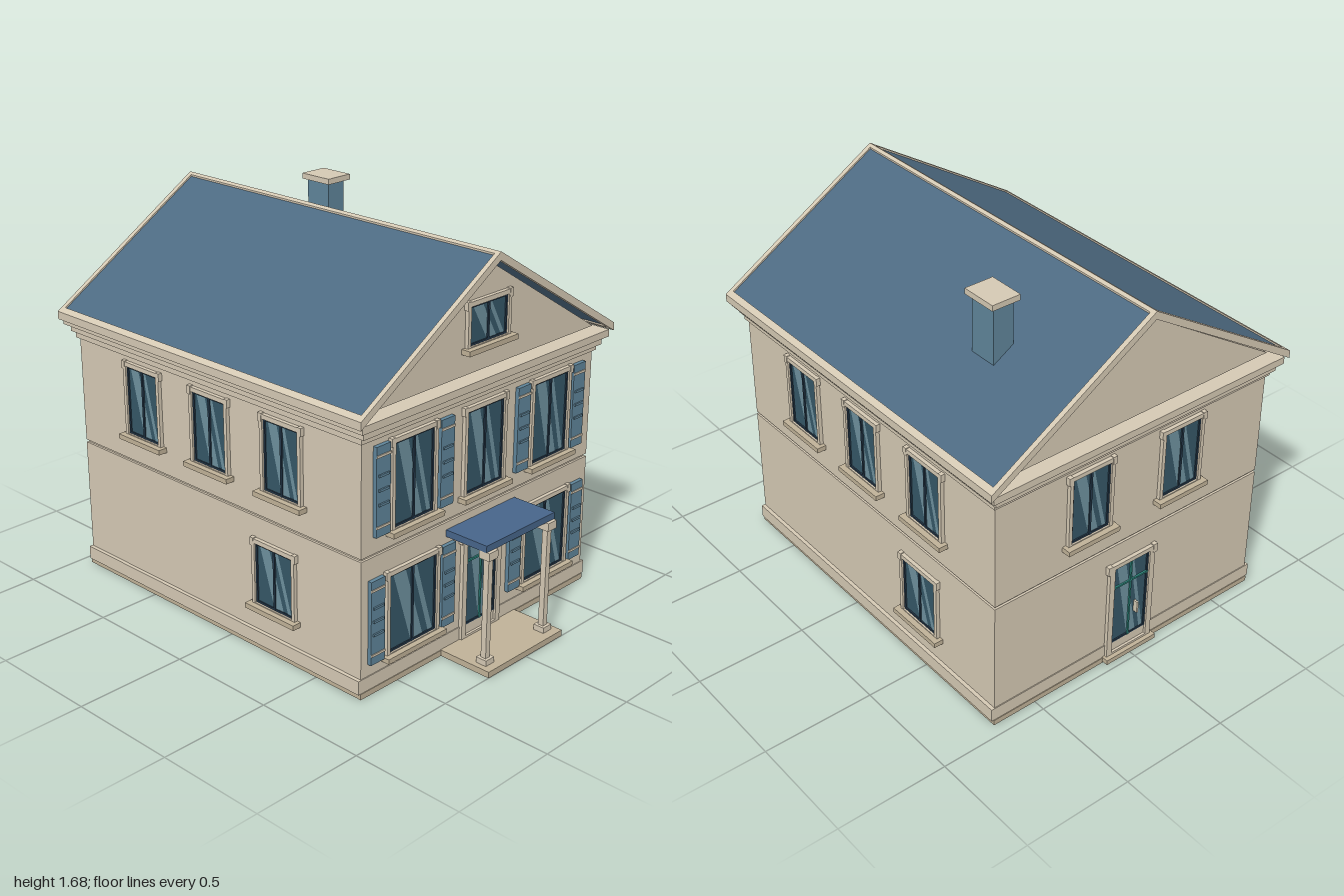
import * as THREE from 'three';

const mat = (color, side = THREE.FrontSide) => new THREE.MeshStandardMaterial({ color, side });
const CREAM = mat(0xd4c8b3), STONE = mat(0xbfb197), ROOF = mat(0x4d6a82), PORCH = mat(0x47658a);
const SHUTTER = mat(0x5f8499), FRAME = mat(0x24384a), GLASS = mat(0x355666);
const SHINE = mat(0x6d909d, THREE.DoubleSide), TEAL = mat(0x2f8a80);

function group(name, parent) {
  const g = new THREE.Group();
  g.name = name;
  parent.add(g);
  return g;
}

// Box given by its limits on each axis
function box(parent, name, m, [x0, x1], [y0, y1], [z0, z1]) {
  const mesh = new THREE.Mesh(new THREE.BoxGeometry(x1 - x0, y1 - y0, z1 - z0), m);
  mesh.position.set((x0 + x1) / 2, (y0 + y1) / 2, (z0 + z1) / 2);
  mesh.name = name;
  parent.add(mesh);
  return mesh;
}

// Outline in xy pushed from z0 to z1
function prism(parent, name, m, pts, z0, z1, hole) {
  const shape = new THREE.Shape(pts.map(p => new THREE.Vector2(...p)));
  if (hole) shape.holes.push(new THREE.Path(hole.map(p => new THREE.Vector2(...p))));
  const mesh = new THREE.Mesh(new THREE.ExtrudeGeometry(shape, { depth: z1 - z0, bevelEnabled: false }), m);
  mesh.position.z = z0;
  mesh.name = name;
  parent.add(mesh);
  return mesh;
}

const rect = (w, y0, y1) => [[-w, y0], [w, y0], [w, y1], [-w, y1]];

// Glazing with a dark frame and two slanted reflections
function glazing(g, w, y0, y1) {
  box(g, 'glass', GLASS, [-w, w], [y0, y1], [-0.01, 0.003]);
  prism(g, 'sash', FRAME, rect(w, y0, y1), 0.002, 0.009, rect(w - 0.008, y0 + 0.008, y1 - 0.008));
  const a = w - 0.008, b = y0 + 0.008, t = y1 - 0.008;
  for (const [p, q, r, s] of [[-0.85, -0.3, 0.5, -0.05], [0.0, 0.2, 0.95, 0.75]]) {
    const streak = new THREE.Shape([[p, t], [q, t], [r, b], [s, b]].map(([u, y]) => new THREE.Vector2(u * a, y)));
    const mesh = new THREE.Mesh(new THREE.ShapeGeometry(streak), SHINE);
    mesh.position.z = 0.0045;
    mesh.name = 'reflection';
    g.add(mesh);
  }
}

// Window with half width w, opening from y0 to y1, and a sill below
function windowUnit(wall, u, w, y0, y1) {
  const g = group('window', wall);
  g.position.x = u;
  glazing(g, w, y0, y1);
  box(g, 'mullion', FRAME, [-0.005, 0.005], [y0, y1], [0, 0.01]);
  prism(g, 'trim', CREAM, rect(w + 0.017, y0 - 0.005, y1 + 0.02), 0, 0.017, rect(w, y0, y1));
  for (const s of [-1, 1]) {
    const x = s * (w + 0.014);
    box(g, 'trimEar', CREAM, [x - 0.01, x + 0.01], [y1 - 0.012, y1 + 0.023], [0, 0.019]);
  }
  box(g, 'sill', STONE, [-w - 0.035, w + 0.035], [y0 - 0.026, y0 - 0.004], [0, 0.042]);
}

// Louvred shutter centred on u
function shutter(wall, u, y0, y1) {
  const g = group('shutter', wall);
  g.position.x = u;
  box(g, 'panel', SHUTTER, [-0.039, 0.039], [y0, y1], [0, 0.018]);
  for (const y of [y0 + 0.042, y1 - 0.04]) box(g, 'strap', CREAM, [-0.039, 0.039], [y - 0.005, y + 0.005], [0.016, 0.022]);
  for (const f of [0.36, 0.52, 0.68]) {
    const y = y0 + f * (y1 - y0);
    box(g, 'slat', SHUTTER, [-0.028, 0.028], [y - 0.005, y + 0.005], [0.016, 0.025]);
  }
}

// Glazed door with cross bars and handle
function door(wall) {
  const g = group('door', wall);
  glazing(g, 0.095, 0.085, 0.485);
  box(g, 'doorBottom', CREAM, [-0.095, 0.095], [0.03, 0.085], [0, 0.006]);
  prism(g, 'doorTrim', CREAM, rect(0.122, 0.03, 0.505), 0, 0.017, rect(0.095, 0.04, 0.485));
  for (const s of [-1, 1]) box(g, 'trimEar', CREAM, [s * 0.122 - 0.011, s * 0.122 + 0.011], [0.47, 0.51], [0, 0.019]);
  box(g, 'verticalBar', TEAL, [-0.004, 0.004], [0.085, 0.485], [0, 0.011]);
  box(g, 'crossBar', TEAL, [-0.095, 0.095], [0.374, 0.382], [0, 0.011]);
  box(g, 'handle', CREAM, [0.03, 0.039], [0.195, 0.25], [0, 0.024]);
}

// Sloping strip of roof on one side (s = 1 or -1)
function roofStrip(g, name, m, s, [x0, x1], [top, bottom], z0, z1) {
  const y = x => 1.68 - 0.617 * x;
  const pts = [[s * x0, y(x0) + bottom], [s * x1, y(x1) + bottom], [s * x1, y(x1) + top], [s * x0, y(x0) + top]];
  prism(g, name, m, pts, z0, z1);
}

export function createModel() {
  const house = new THREE.Group();
  house.name = 'house';

  // Base and walls, with a groove between the storeys
  const body = group('body', house);
  box(body, 'plinth', STONE, [-0.712, 0.712], [0, 0.025], [-0.947, 0.747]);
  box(body, 'baseBand', CREAM, [-0.722, 0.722], [0.025, 0.085], [-0.944, 0.744]);
  box(body, 'lowerWalls', CREAM, [-0.705, 0.705], [0.025, 0.595], [-0.94, 0.74]);
  box(body, 'storeyGroove', CREAM, [-0.695, 0.695], [0.59, 0.612], [-0.93, 0.73]);
  box(body, 'upperWalls', CREAM, [-0.705, 0.705], [0.607, 1.12], [-0.94, 0.74]);

  // Stepped cornice
  for (const [out, zOut, y0, y1] of [[0.012, 0.012, 1.085, 1.112], [0.022, 0.032, 1.112, 1.14], [0.046, 0.05, 1.145, 1.177], [0.01, 0.01, 1.13, 1.15]])
    box(body, 'cornice', CREAM, [-0.705 - out, 0.705 + out], [y0, y1], [-0.94 - zOut, 0.74 + zOut]);

  // Gables
  const gable = [[-0.7, 1.194], [0.7, 1.194], [0, 1.632]];
  prism(body, 'frontGable', CREAM, gable, 0.72, 0.74);
  prism(body, 'backGable', CREAM, gable, -0.94, -0.92);

  // Roof slopes with pale edging
  const roof = group('roof', house);
  for (const s of [-1, 1]) {
    roofStrip(roof, 'roofSlope', ROOF, s, [0, 0.75], [-0.008, -0.028], -0.985, 0.785);
    roofStrip(roof, 'eaveTrim', CREAM, s, [0.745, 0.77], [0, -0.035], -1, 0.8);
    roofStrip(roof, 'ridgeTrim', CREAM, s, [0, 0.014], [0, -0.03], -1, 0.8);
    roofStrip(roof, 'frontVerge', CREAM, s, [0, 0.77], [0, -0.035], 0.778, 0.8);
    roofStrip(roof, 'backVerge', CREAM, s, [0, 0.77], [0, -0.035], -1, -0.978);
  }

  // Chimney
  const chimney = group('chimney', house);
  box(chimney, 'stack', SHUTTER, [0.333, 0.428], [1.385, 1.662], [-0.585, -0.456]);
  box(chimney, 'cap', CREAM, [0.315, 0.449], [1.66, 1.685], [-0.603, -0.438]);

  // Each facade faces local +z
  const facade = (name, x, z, turn) => {
    const g = group(name, house);
    g.position.set(x, 0, z);
    g.rotation.y = turn;
    return g;
  };
  const front = facade('frontFacade', 0, 0.74, 0);
  const back = facade('backFacade', 0, -0.94, Math.PI);
  const sides = [facade('leftFacade', 0.705, -0.1, Math.PI / 2), facade('rightFacade', -0.705, -0.1, -Math.PI / 2)];

  // Front
  windowUnit(front, 0, 0.113, 0.685, 1.04);
  windowUnit(front, 0, 0.113, 1.312, 1.475);
  door(front);
  for (const s of [-1, 1]) {
    windowUnit(front, s * 0.42, 0.113, 0.685, 1.04);
    windowUnit(front, s * 0.418, 0.137, 0.147, 0.487);
    for (const u of [0.602, 0.236]) shutter(front, s * u, 0.68, 1.055);
    for (const u of [0.627, 0.212]) shutter(front, s * u, 0.138, 0.502);
  }

  // Back and sides
  for (const s of [-1, 1]) windowUnit(back, s * 0.24, 0.097, 0.735, 1.04);
  door(back);
  box(back, 'backStep', STONE, [-0.135, 0.135], [0.008, 0.03], [0, 0.036]);
  for (const wall of sides) {
    for (const u of [-0.418, 0, 0.418]) windowUnit(wall, u, 0.097, 0.735, 1.04);
    windowUnit(wall, 0.366, 0.106, 0.214, 0.482);
  }

  // Porch
  const porch = group('porch', house);
  box(porch, 'porchFloor', STONE, [-0.238, 0.238], [0, 0.027], [0.74, 1]);
  box(porch, 'porchRoof', PORCH, [-0.215, 0.215], [0.532, 0.562], [0.74, 0.95]);
  for (const s of [-1, 1]) {
    const column = group('column', porch);
    column.position.set(s * 0.186, 0, 0.937);
    box(column, 'shaft', CREAM, [-0.013, 0.013], [0.027, 0.532], [-0.013, 0.013]);
    box(column, 'capital', CREAM, [-0.027, 0.027], [0.497, 0.533], [-0.027, 0.027]);
    box(column, 'foot', CREAM, [-0.026, 0.026], [0.026, 0.052], [-0.026, 0.026]);
  }
  return house;
}
